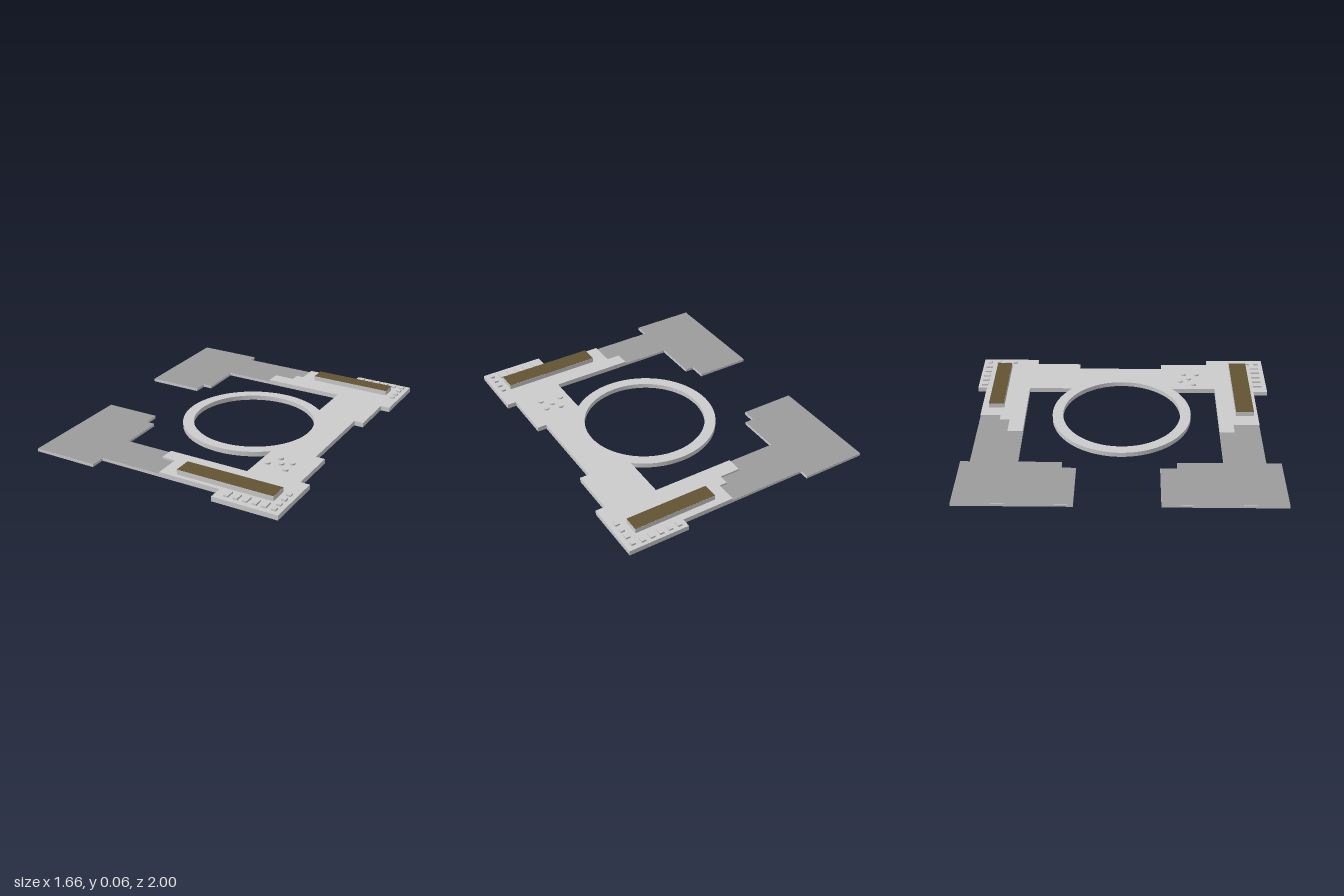
import * as THREE from 'three';
import { toCreasedNormals } from 'three/addons/utils/BufferGeometryUtils.js';

const PLATE = 0.031, THIN = 0.018, PAD = 0.042, BAR = 0.062;
const grey = new THREE.MeshStandardMaterial({ color: 0xcccccc });
const darkGrey = new THREE.MeshStandardMaterial({ color: 0x9c9c9c });
const brown = new THREE.MeshStandardMaterial({ color: 0x635332 });

function addMesh(parent, name, geometry, material = grey) {
  const mesh = new THREE.Mesh(geometry, material);
  mesh.name = name;
  parent.add(mesh);
  return mesh;
}

// Outline of [x, z] corners as a shape that will be laid flat
const outline = (points) => new THREE.Shape(points.map(([x, z]) => new THREE.Vector2(x, -z)));

function slab(shape, height) {
  const g = new THREE.ExtrudeGeometry(shape, { depth: height, bevelEnabled: false, curveSegments: 72 });
  return toCreasedNormals(g.rotateX(-Math.PI / 2), 0.5);
}

// Box standing on the y level 'bottom'
function block(parent, name, x, z, w, d, bottom, top) {
  const mesh = addMesh(parent, name, new THREE.BoxGeometry(w, top - bottom, d));
  mesh.position.set(x, (bottom + top) / 2, z);
}

// Coloured skin just above a flat top
function skin(parent, name, shape, y, material) {
  addMesh(parent, name, new THREE.ShapeGeometry(shape).rotateX(-Math.PI / 2), material).position.y = y + 0.0008;
}

export function createModel() {
  const model = new THREE.Group();
  model.name = 'steppedPlateWithRing';

  // Thick main plate, with the ring growing out of its inner edge
  const cx = 0.135, outer = 0.46, inner = 0.39, edge = 0.44;
  const a = Math.acos((edge - cx) / outer);
  const main = outline([
    [edge, -0.64], [-0.09, -0.64], [-0.09, -0.74], [0.045, -0.74], [0.045, -0.805], [0.095, -0.805],
    [0.095, -0.94], [edge, -0.94], [edge, -1], [0.83, -1], [0.83, -0.61], [0.77, -0.61],
    [0.77, -0.305], [0.71, -0.305], [0.71, 0.275], [0.77, 0.275], [0.77, 0.605], [0.83, 0.605],
    [0.83, 1], [0.41, 1], [0.41, 0.905], [0, 0.905], [0, 0.735], [-0.09, 0.735], [-0.09, 0.64], [edge, 0.64],
  ]);
  main.lineTo(edge, -outer * Math.sin(a));
  main.absarc(cx, 0, outer, -a, a, true);
  main.holes.push(new THREE.Path().absarc(cx, 0, inner, 0, Math.PI * 2, false));
  addMesh(model, 'mainPlateAndRing', slab(main, PLATE));

  // Thin end plates with darker tops
  const ends = {
    backEndPlate: [
      [-0.83, -1], [-0.41, -1], [-0.41, -0.94], [0.095, -0.94], [0.095, -0.805], [0.045, -0.805],
      [0.045, -0.74], [-0.09, -0.74], [-0.09, -0.64], [-0.41, -0.64], [-0.41, -0.365],
      [-0.47, -0.365], [-0.47, -0.275], [-0.83, -0.275],
    ],
    frontEndPlate: [
      [-0.83, 0.245], [-0.47, 0.245], [-0.47, 0.35], [-0.41, 0.35], [-0.41, 0.64], [-0.09, 0.64],
      [-0.09, 0.735], [0, 0.735], [0, 0.905], [-0.41, 0.905], [-0.41, 1], [-0.83, 1],
    ],
  };
  for (const [name, points] of Object.entries(ends)) {
    const shape = outline(points);
    addMesh(model, name, slab(shape, THIN));
    skin(model, name + 'Top', shape, THIN, darkGrey);
  }

  // Raised bars with brown tops
  for (const [name, x0, x1, z0, z1] of [
    ['backBar', 0.19, 0.73, -0.893, -0.792],
    ['frontBar', 0.105, 0.738, 0.758, 0.877],
  ]) {
    block(model, name, (x0 + x1) / 2, (z0 + z1) / 2, x1 - x0, z1 - z0, PLATE, BAR);
    skin(model, name + 'Top', outline([[x0, z0], [x1, z0], [x1, z1], [x0, z1]]), BAR, brown);
  }

  // Rows of small pads along the outer corners
  for (const [side, rowZ, depth, sign] of [['back', -0.957, 0.042, -1], ['front', 0.938, 0.058, 1]]) {
    for (let i = 0; i < 5; i++)
      block(model, side + 'EdgePad', 0.484 + i * 0.06, rowZ, 0.029, depth, PLATE, PAD);
    for (let i = 0; i < 4; i++)
      block(model, side + 'CornerPad', 0.785, sign * (0.774 + i * 0.0605), 0.028, 0.028, PLATE, PAD);
  }

  // Cluster of round studs
  for (const [x, z] of [[0.54, 0.405], [0.63, 0.43], [0.574, 0.464], [0.497, 0.495], [0.63, 0.519]]) {
    const stud = addMesh(model, 'roundStud', new THREE.CylinderGeometry(0.018, 0.018, PAD - PLATE, 24));
    stud.position.set(x, (PAD + PLATE) / 2, z);
  }
  return model;
}
